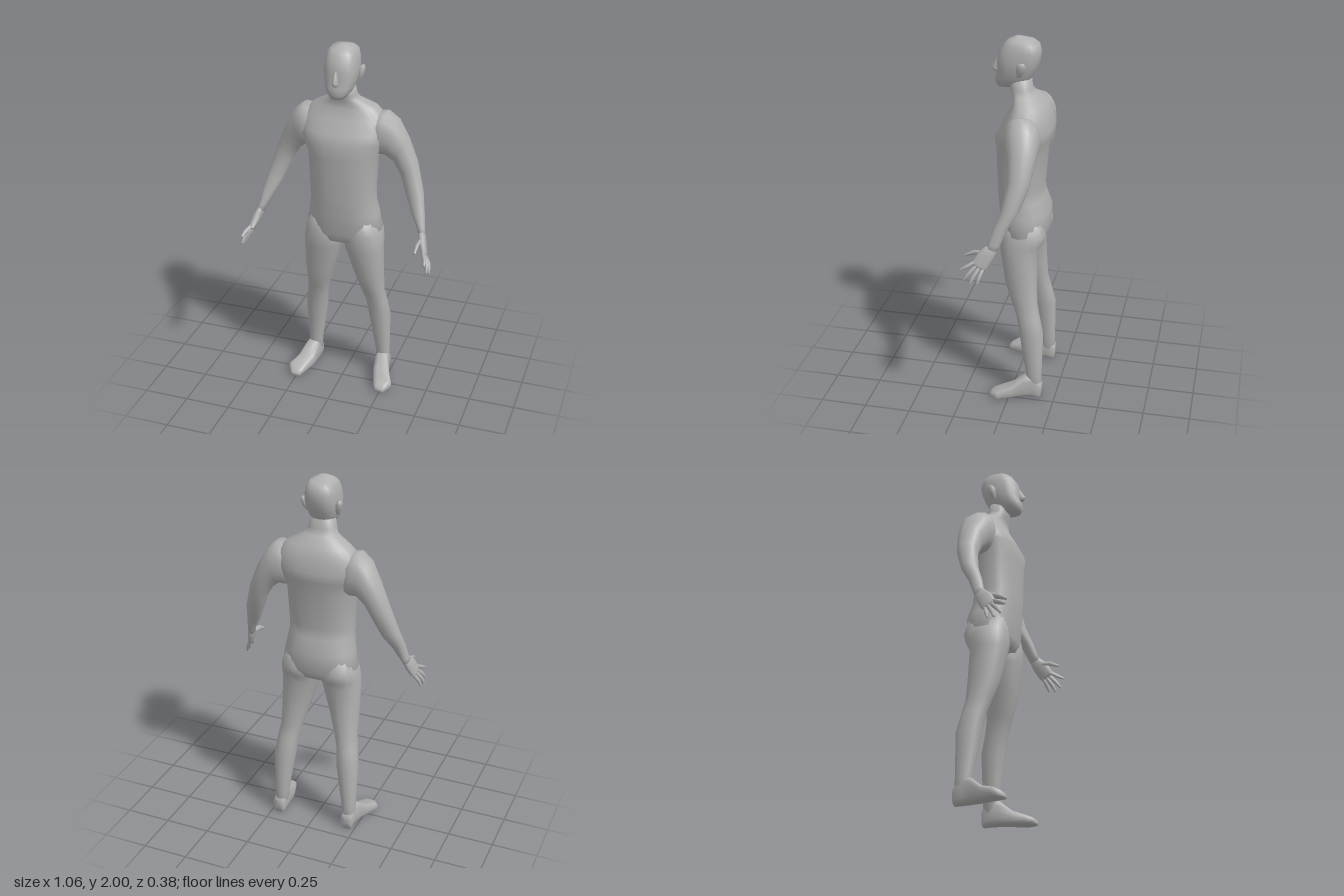
import * as THREE from 'three';

const skin = new THREE.MeshStandardMaterial({ color: 0xb0b0b0 });
skin.name = 'plain grey';

// Skin over rings [cx, cy, cz, radiusU, radiusV, tilt, pitch]:
// tilt turns U from x towards y, pitch turns V from z towards y.
// roundness 1 is an ellipse, smaller is boxier; side -1 mirrors in x.
function loft(name, rings, { side = 1, sides = 16, roundness = 0.9 } = {}) {
  const pos = [], idx = [];
  const bend = (v) => Math.sign(v) * Math.abs(v) ** roundness;
  const tri = (a, b, c) => (side > 0 ? idx.push(a, b, c) : idx.push(a, c, b));
  for (const [cx, cy, cz, ru, rv, tilt = 0, pitch = 0] of rings) {
    for (let j = 0; j < sides; j++) {
      const a = (j / sides) * Math.PI * 2;
      const u = bend(Math.cos(a)) * ru, v = bend(Math.sin(a)) * rv;
      pos.push(
        side * (cx + u * Math.cos(tilt)),
        cy + u * Math.sin(tilt) + v * Math.sin(pitch),
        cz + v * Math.cos(pitch)
      );
    }
  }
  for (let i = 0; i < rings.length - 1; i++) {
    for (let j = 0; j < sides; j++) {
      const k = (j + 1) % sides, p = i * sides, q = p + sides;
      tri(p + j, p + k, q + j);
      tri(p + k, q + k, q + j);
    }
  }
  // End caps
  const first = pos.length / 3, last = first + 1, end = (rings.length - 1) * sides;
  for (const r of [rings[0], rings[rings.length - 1]]) pos.push(side * r[0], r[1], r[2]);
  for (let j = 0; j < sides; j++) {
    const k = (j + 1) % sides;
    tri(first, j + 1 > sides - 1 ? 0 : j + 1, j);
    tri(last, end + j, end + k);
  }
  const geo = new THREE.BufferGeometry();
  geo.setAttribute('position', new THREE.Float32BufferAttribute(pos, 3));
  geo.setIndex(idx);
  geo.computeVertexNormals();
  const mesh = new THREE.Mesh(geo, skin);
  mesh.name = name;
  return mesh;
}

// Level ring from its extents
const slab = ([y, x0, x1, front, back]) =>
  [(x0 + x1) / 2, y, (front + back) / 2, (x1 - x0) / 2, (front - back) / 2];
// Level ring centred on x = 0
const level = ([y, w, front, back]) => slab([y, -w, w, front, back]);

export function createModel() {
  const model = new THREE.Group();
  model.name = 'standingFigure';

  model.add(loft('torso', [
    [1.8, 0.06, 0.04, -0.07],
    [1.73, 0.073, 0.04, -0.075],
    [1.7, 0.085, 0.025, -0.1],
    [1.655, 0.17, 0.02, -0.15],
    [1.6, 0.225, 0.047, -0.173],
    [1.53, 0.235, 0.085, -0.19],
    [1.48, 0.225, 0.11, -0.185],
    [1.4, 0.188, 0.106, -0.16],
    [1.2, 0.178, 0.1, -0.143],
    [1.14, 0.178, 0.097, -0.15],
    [1.06, 0.19, 0.09, -0.18],
    [0.95, 0.211, 0.077, -0.175],
    [0.9, 0.15, 0.06, -0.145],
    [0.885, 0.06, 0.02, -0.09],
  ].map(level), { sides: 24, roundness: 0.85 }));

  model.add(loft('head', [
    [1.997, 0.015, 0.01, -0.01],
    [1.978, 0.06, 0.05, -0.085],
    [1.96, 0.076, 0.07, -0.11],
    [1.92, 0.084, 0.095, -0.121],
    [1.87, 0.088, 0.106, -0.113],
    [1.83, 0.083, 0.105, -0.097],
    [1.79, 0.074, 0.115, -0.078],
    [1.76, 0.059, 0.118, -0.055],
    [1.735, 0.038, 0.107, -0.01],
  ].map(level), { sides: 20, roundness: 0.78 }));

  model.add(loft('nose', [
    [1.88, 0.008, 0.108, 0.08],
    [1.83, 0.013, 0.136, 0.08],
    [1.818, 0.015, 0.139, 0.08],
    [1.808, 0.013, 0.125, 0.08],
  ].map(level), { sides: 8 }));

  for (const side of [1, -1]) {
    const part = side > 0 ? 'left' : 'right';

    model.add(loft(part + 'Ear', [
      [1.882, 0.088, 0.106, -0.025, -0.052],
      [1.865, 0.078, 0.112, -0.01, -0.06],
      [1.835, 0.075, 0.105, -0.008, -0.052],
      [1.805, 0.072, 0.09, -0.01, -0.03],
    ].map(slab), { side, sides: 8 }));

    // Shoulder to wrist
    model.add(loft(part + 'Arm', [
      [0.13, 1.53, -0.065, 0.1, 0.08, 1.4],
      [0.2, 1.52, -0.062, 0.123, 0.096, 1.35],
      [0.25, 1.5, -0.068, 0.102, 0.088, 1.25],
      [0.3, 1.43, -0.077, 0.074, 0.07, 1.05],
      [0.345, 1.33, -0.075, 0.057, 0.057, 0.72],
      [0.388, 1.205, -0.042, 0.047, 0.046, 0.4],
      [0.419, 1.12, 0, 0.035, 0.037, 0.35],
      [0.446, 1.04, 0.028, 0.02, 0.03, 0.3, 0.3],
      [0.453, 1.015, 0.042, 0.019, 0.03, 0.3, 0.4],
    ], { side }));

    // Palm, fingers and thumb
    const hand = new THREE.Group();
    hand.name = part + 'Hand';
    hand.add(loft(part + 'Palm', [
      [0.449, 1.03, 0.033, 0.018, 0.028, 0.3, 0.4],
      [0.464, 0.985, 0.065, 0.019, 0.042, 0.3, 0.5],
      [0.482, 0.935, 0.095, 0.014, 0.042, 0.3, 0.5],
      [0.487, 0.922, 0.102, 0.011, 0.036, 0.3, 0.5],
    ], { side, sides: 12 }));
    const digits = {
      Thumb: [[0.457, 1.0, 0.075], [0.45, 0.99, 0.13], [0.45, 0.968, 0.178], 0.013],
      IndexFinger: [[0.48, 0.95, 0.117], [0.499, 0.928, 0.158], [0.506, 0.912, 0.19], 0.011],
      MiddleFinger: [[0.483, 0.938, 0.106], [0.508, 0.895, 0.145], [0.516, 0.862, 0.17], 0.011],
      RingFinger: [[0.484, 0.928, 0.092], [0.512, 0.88, 0.122], [0.522, 0.843, 0.138], 0.011],
      LittleFinger: [[0.482, 0.92, 0.075], [0.508, 0.878, 0.092], [0.518, 0.845, 0.102], 0.01],
    };
    for (const [name, [base, mid, tip, r]] of Object.entries(digits)) {
      const pitch = Math.atan2(tip[2] - base[2], base[1] - tip[1]);
      hand.add(loft(part + name, [
        [...base, r, r, 0.3, pitch],
        [...mid, r, r, 0.3, pitch],
        [...tip, r * 0.55, r * 0.55, 0.3, pitch],
      ], { side, sides: 8 }));
    }
    model.add(hand);

    // Hip to ankle
    model.add(loft(part + 'Leg', [
      [1.04, 0.03, 0.185, 0.06, -0.15],
      [0.95, 0.004, 0.212, 0.072, -0.172],
      [0.9, 0.002, 0.219, 0.073, -0.158],
      [0.85, 0.012, 0.221, 0.066, -0.132],
      [0.68, 0.064, 0.22, 0.037, -0.135],
      [0.56, 0.098, 0.22, -0.005, -0.14],
      [0.49, 0.117, 0.231, -0.03, -0.155],
      [0.385, 0.127, 0.245, -0.05, -0.18],
      [0.14, 0.164, 0.241, -0.09, -0.176],
      [0.04, 0.17, 0.243, -0.09, -0.176],
    ].map(slab), { side }));

    // Heel to toe
    model.add(loft(part + 'Foot', [
      [0.207, 0.045, -0.177, 0.034, 0.045],
      [0.206, 0.07, -0.13, 0.038, 0.07],
      [0.212, 0.067, -0.085, 0.042, 0.067],
      [0.228, 0.04, -0.02, 0.05, 0.04],
      [0.255, 0.028, 0.05, 0.054, 0.028],
      [0.251, 0.02, 0.085, 0.037, 0.02],
      [0.25, 0.013, 0.102, 0.025, 0.013],
    ].map((r) => [...r, 0, Math.PI / 2]), { side, roundness: 0.65 }));
  }
  return model;
}
